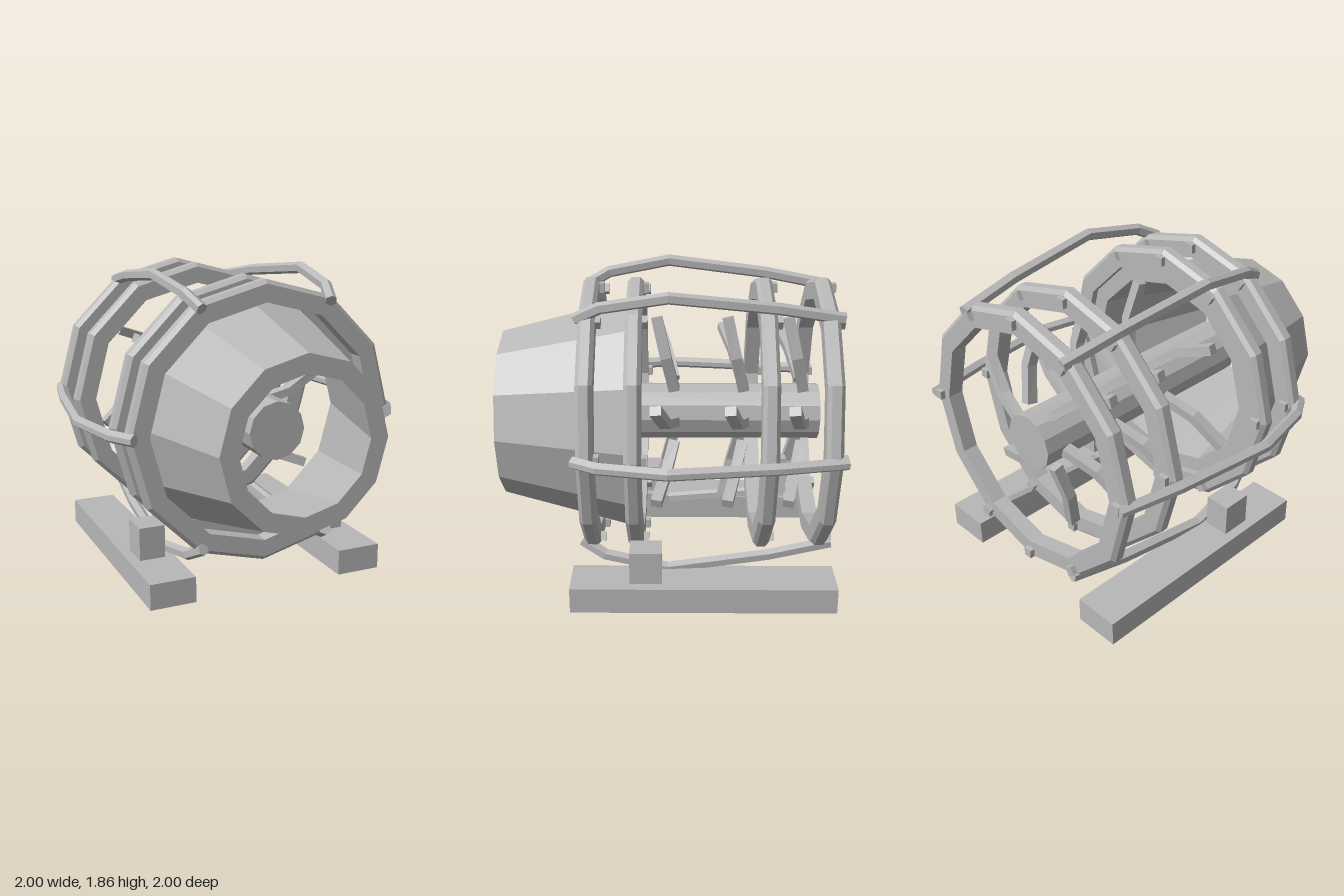
import * as THREE from 'three';

const AXIS_Y = 0.99;

// Solid bar: a convex section swept along a polyline; "ref" sets the section's upright axis
function sweep(path, section, ref) {
  const pts = path.map(p => new THREE.Vector3(...p));
  const last = pts.length - 1, n = section.length;
  const rings = pts.map((p, j) => {
    const t = new THREE.Vector3();
    if (j > 0) t.add(pts[j].clone().sub(pts[j - 1]).normalize());
    if (j < last) t.add(pts[j + 1].clone().sub(pts[j]).normalize());
    t.normalize();
    const b = ref.clone().cross(t).normalize();
    const c = t.clone().cross(b);
    return section.map(([u, v]) => p.clone().addScaledVector(b, u).addScaledVector(c, v));
  });
  const out = [];
  const tri = (...vs) => vs.forEach(v => out.push(v.x, v.y, v.z));
  for (let j = 0; j < last; j++) {
    for (let i = 0; i < n; i++) {
      const k = (i + 1) % n, A = rings[j], B = rings[j + 1];
      tri(A[i], A[k], B[k]);
      tri(A[i], B[k], B[i]);
    }
  }
  for (let i = 1; i < n - 1; i++) {
    tri(rings[last][0], rings[last][i], rings[last][i + 1]);
    tri(rings[0][0], rings[0][i + 1], rings[0][i]);
  }
  const g = new THREE.BufferGeometry();
  g.setAttribute('position', new THREE.Float32BufferAttribute(out, 3));
  g.computeVertexNormals();
  return g;
}

// Twelve-sided body turned around the z axis from a closed [radius, z] outline
function turned(outline) {
  const pts = [...outline, outline[0]].map(([r, z]) => new THREE.Vector2(r, z));
  return new THREE.LatheGeometry(pts, 12).rotateX(Math.PI / 2);
}

export function createModel() {
  const model = new THREE.Group();
  const metal = new THREE.MeshStandardMaterial({ color: 0xb8b8b8 });
  metal.name = 'grey metal';
  metal.flatShading = true;

  const add = (parent, name, geometry, x = 0, y = 0, z = 0) => {
    const mesh = new THREE.Mesh(geometry, metal);
    mesh.name = name;
    mesh.position.set(x, y, z);
    parent.add(mesh);
    return mesh;
  };

  const engine = new THREE.Group();
  engine.name = 'engine';
  engine.position.y = AXIS_Y;
  model.add(engine);

  // Hollow nozzle cone and central shaft
  add(engine, 'nozzle', turned([[0.61, 0.19], [0.72, 0.19], [0.51, 1], [0.4, 1]]));
  add(engine, 'shaft', new THREE.CylinderGeometry(0.172, 0.172, 1.57, 12).rotateX(Math.PI / 2), 0, 0, -0.135);

  // Hoops with bevelled outer edges, and bolts on their back faces
  const hoop = turned([[0.71, -0.048], [0.815, -0.048], [0.84, -0.026],
    [0.84, 0.026], [0.815, 0.048], [0.71, 0.048]]);
  const bolt = new THREE.BoxGeometry(0.055, 0.055, 0.05);
  for (const z of [0.457, 0.194, -0.565, -0.912]) {
    add(engine, 'hoop', hoop, 0, 0, z);
    for (const deg of [0, 60, 90, 120, 180, 240, 270, 300]) {
      const a = THREE.MathUtils.degToRad(deg);
      const b = add(engine, 'bolt', bolt, 0.78 * Math.cos(a), 0.78 * Math.sin(a), z - 0.053);
      b.rotation.z = a;
    }
  }

  // Six bowed ribs around the cage
  const rib = sweep(
    [[0.812, 0, -0.985], [0.888, 0, -0.61], [0.967, 0, 0], [0.89, 0, 0.38], [0.805, 0, 0.52]],
    [[0.033, -0.015], [0.033, 0.015], [0, 0.037], [-0.033, 0.015], [-0.033, -0.015], [0, -0.037]],
    new THREE.Vector3(0, 1, 0));

  // Bent blades, three rows of six
  const blade = sweep(
    [[0.2, 0, -0.035], [0.41, 0.068, 0.015], [0.596, 0.222, 0.07]],
    [[0.028, -0.033], [0.028, 0.033], [-0.028, 0.033], [-0.028, -0.033]],
    new THREE.Vector3(0, 0, 1));

  for (let i = 0; i < 6; i++) {
    const a = i * Math.PI / 3;
    add(engine, 'rib', rib).rotation.z = a;
    for (const z of [0, -0.42, -0.78]) add(engine, 'blade', blade, 0, 0, z).rotation.z = a;
  }

  // Floor beams with support blocks
  for (const s of [1, -1]) {
    add(model, 'floorBeam', new THREE.BoxGeometry(0.28, 0.157, 1.57), s * 0.612, 0.0785, -0.21);
    add(model, 'supportBlock', new THREE.BoxGeometry(0.16, 0.205, 0.19), s * 0.61, 0.2575, 0.13);
  }

  return model;
}
